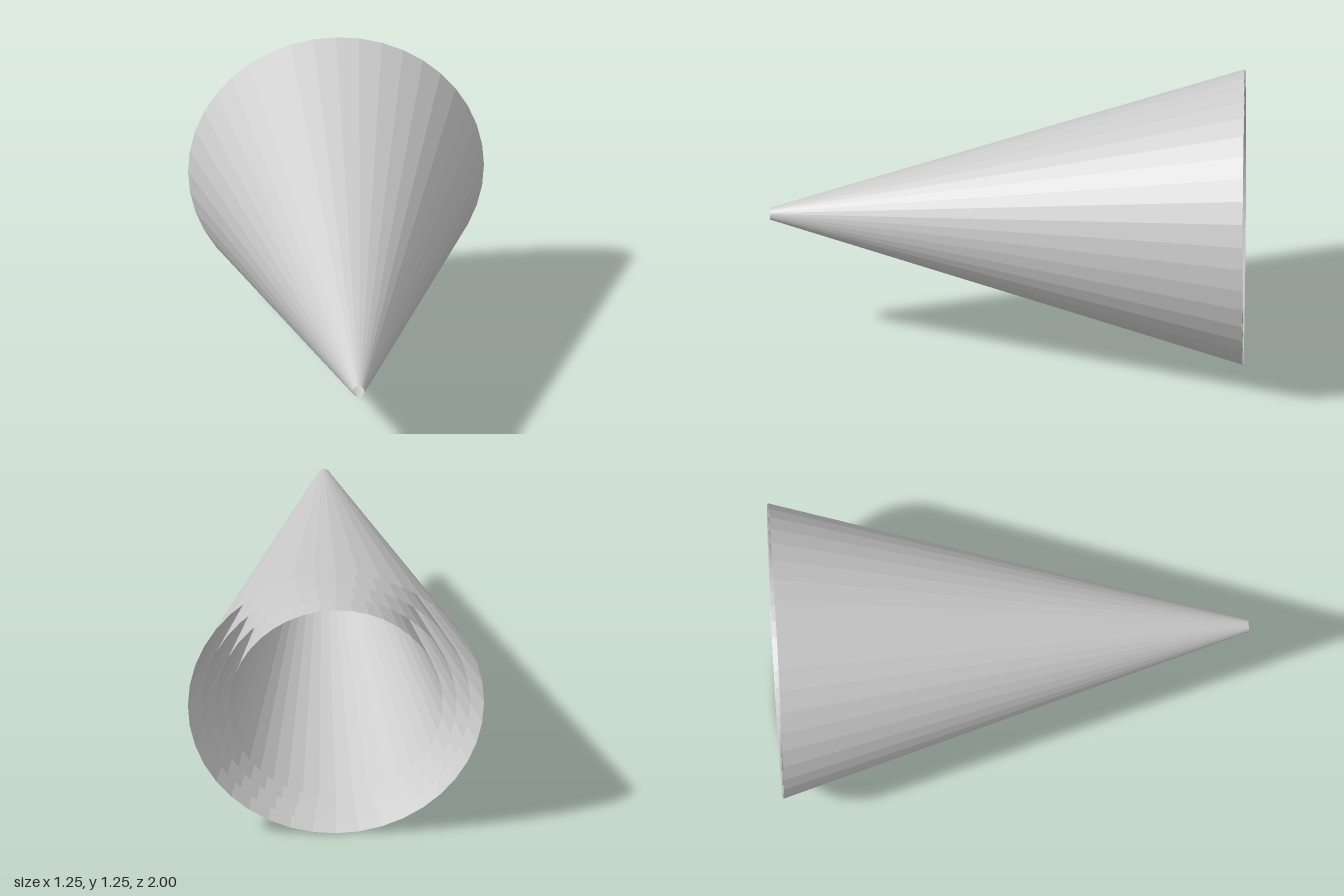
import * as THREE from 'three';

export function createModel() {
  const model = new THREE.Group();
  const material = new THREE.MeshStandardMaterial({
    color: 0xcccccc, flatShading: true, side: THREE.DoubleSide,
  });

  const length = 2, tipRadius = 0.025, centreY = 0.625, sides = 40;
  const rimRadii = [0.625, 0.567, 0.509, 0.451];

  // Nested open cone shells, sharing the small hole at the front tip
  rimRadii.forEach((rimRadius, i) => {
    const geometry = new THREE.CylinderGeometry(tipRadius, rimRadius, length, sides, 1, true);
    geometry.rotateX(Math.PI / 2); // tip towards +z, wide mouth at the back
    const shell = new THREE.Mesh(geometry, material);
    shell.name = i === 0 ? 'outerCone' : `innerCone${i}`;
    shell.position.y = centreY;
    model.add(shell);
  });

  return model;
}
